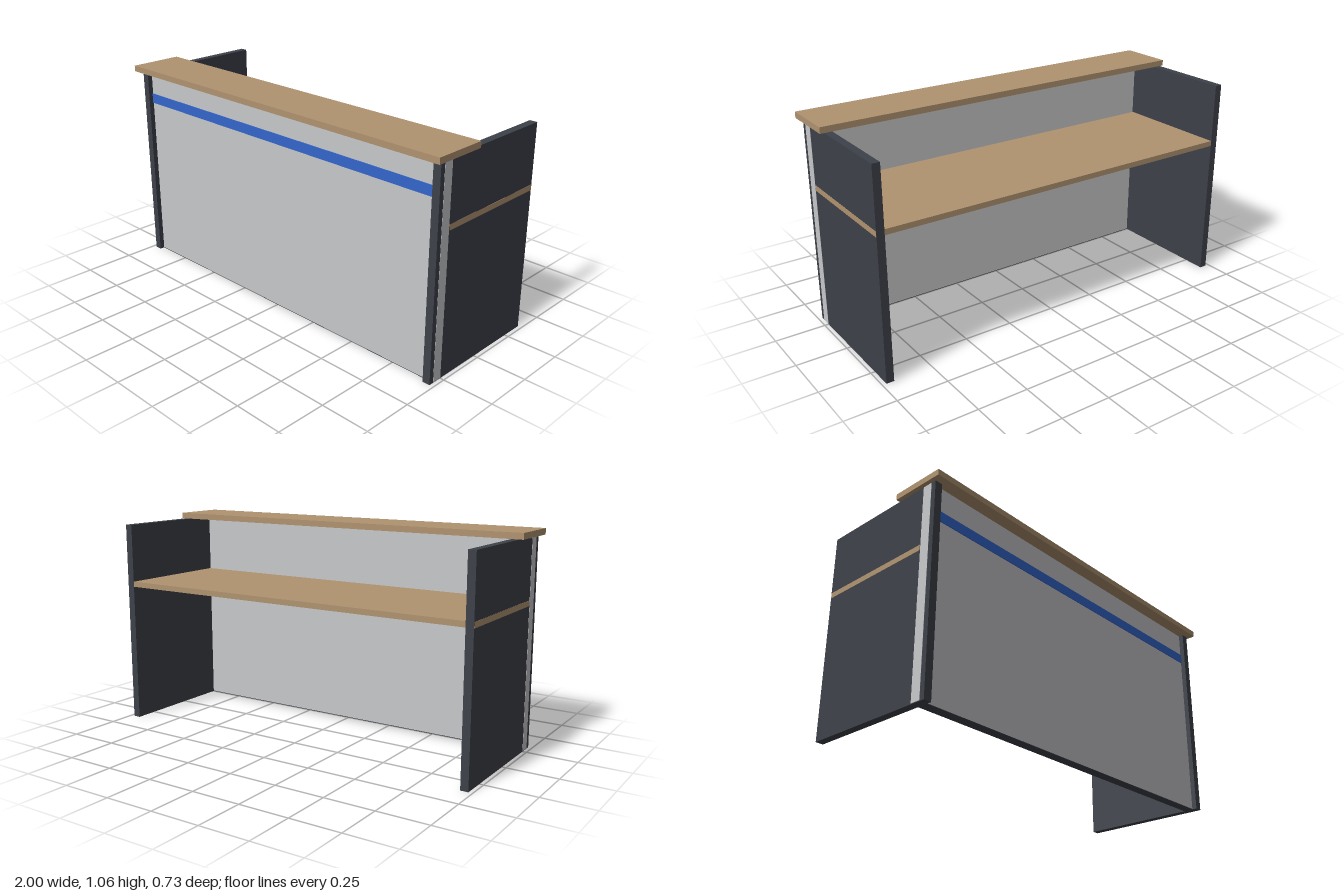
import * as THREE from 'three';

const paint = (name, color) => {
  const m = new THREE.MeshStandardMaterial({ color });
  m.name = name;
  return m;
};

export function createModel() {
  const desk = new THREE.Group();
  desk.name = 'receptionDesk';

  const charcoal = paint('charcoal', 0x3d4149);
  const grey = paint('lightGrey', 0xc7c8ca);
  const wood = paint('wood', 0xb09370);
  const blue = paint('blue', 0x3366cc);

  // Box given by its extents along each axis
  const board = (name, material, [x0, x1], [y0, y1], [z0, z1]) => {
    const mesh = new THREE.Mesh(new THREE.BoxGeometry(x1 - x0, y1 - y0, z1 - z0), material);
    mesh.position.set((x0 + x1) / 2, (y0 + y1) / 2, (z0 + z1) / 2);
    mesh.name = name;
    desk.add(mesh);
  };

  // End panels
  board('leftSidePanel', charcoal, [0.942, 0.98], [0, 1.03], [-0.363, 0.325]);
  board('rightSidePanel', charcoal, [-0.98, -0.942], [0, 1.03], [-0.363, 0.325]);

  // Front panel, its ends showing through the side panels, on a dark base strip
  board('frontPanel', grey, [-0.981, 0.981], [0.003, 1.029], [0.25, 0.3]);
  board('baseStrip', charcoal, [-0.979, 0.979], [0, 0.003], [0.25, 0.3]);

  // Painted stripe across the front
  board('accentStripe', blue, [-0.979, 0.979], [0.858, 0.908], [0.299, 0.304]);

  // Inner work surface and raised counter top
  board('workSurface', wood, [-0.981, 0.981], [0.708, 0.735], [-0.362, 0.247]);
  board('counterTop', wood, [-1, 1], [1.03, 1.06], [0.09, 0.363]);

  return desk;
}
